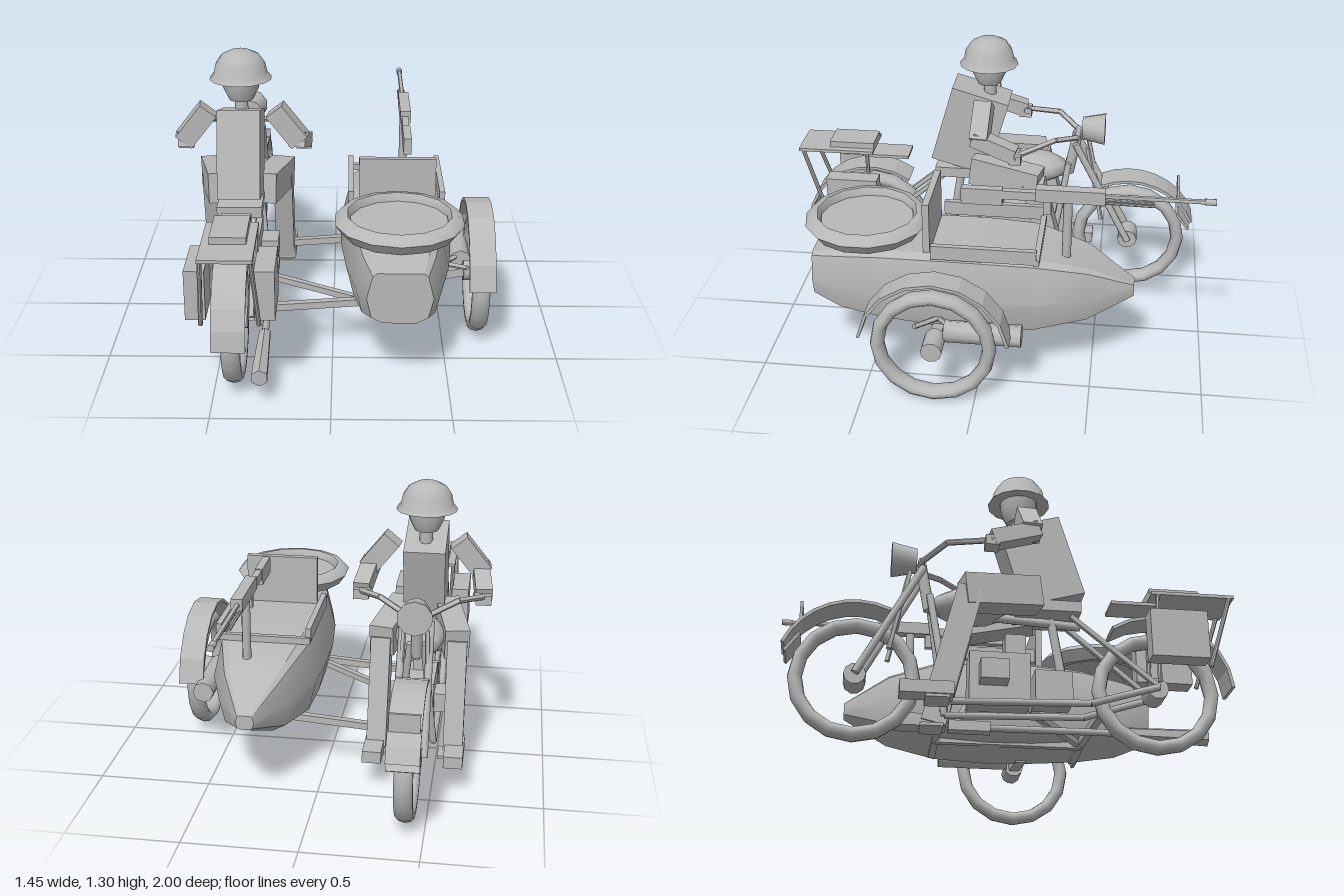
import * as THREE from 'three';
import { toCreasedNormals } from 'three/addons/utils/BufferGeometryUtils.js';

const grey = new THREE.MeshStandardMaterial({ color: 0xb8b8b8, side: THREE.DoubleSide });
grey.name = 'plain grey';
const V = (p) => new THREE.Vector3(...p);
const BX = -0.415; // centre line of the motorcycle
const SX = 0.285; // centre line of the sidecar

export function createModel() {
  const root = new THREE.Group();
  root.name = 'sidecarMotorcycle';
  const bike = new THREE.Group(), sidecar = new THREE.Group(), rider = new THREE.Group();
  bike.name = 'motorcycle'; sidecar.name = 'sidecar'; rider.name = 'rider';
  bike.position.x = rider.position.x = BX;
  root.add(bike, sidecar, rider);

  const add = (g, name, geo, x = 0, y = 0, z = 0) => {
    const m = new THREE.Mesh(geo, grey);
    m.name = name;
    m.position.set(x, y, z);
    g.add(m);
    return m;
  };
  const box = (g, name, w, h, d, x, y, z) => add(g, name, new THREE.BoxGeometry(w, h, d), x, y, z);
  const smooth = (geo) => toCreasedNormals(geo, 0.85);
  // round rod between two points
  const rod = (g, name, a, b, r, r2 = r, seg = 8) => {
    const d = V(b).sub(V(a));
    const m = add(g, name, smooth(new THREE.CylinderGeometry(r2, r, d.length(), seg)));
    m.position.copy(V(a)).addScaledVector(d, 0.5);
    m.quaternion.setFromUnitVectors(new THREE.Vector3(0, 1, 0), d.normalize());
    return m;
  };
  // square beam between two points
  const beam = (g, name, a, b, w, h) => {
    const m = box(g, name, w, h, V(a).distanceTo(V(b)), 0, 0, 0);
    m.position.copy(V(a)).lerp(V(b), 0.5);
    m.quaternion.setFromRotationMatrix(new THREE.Matrix4().lookAt(V(b), V(a), new THREE.Vector3(0, 1, 0)));
    return m;
  };
  // tyre with an open centre and an axle hub
  const wheel = (g, name, x, z, hubHalf) => {
    const t = new THREE.TorusGeometry(0.247, 0.031, 10, 16).rotateY(Math.PI / 2).scale(1.35, 1, 1);
    add(g, name + 'Tyre', t, x, 0.282, z);
    rod(g, name + 'Hub', [x - hubHalf, 0.285, z], [x + hubHalf, 0.285, z], 0.047, 0.047, 10);
  };
  // curved mudguard band; angles run from +z upward
  const fender = (g, name, r, w, a0, a1, x, y, z) => {
    const s = new THREE.Shape(), n = 8;
    for (let k = 0; k <= 2 * n + 1; k++) {
      const outer = k <= n, i = outer ? k : 2 * n + 1 - k;
      const a = THREE.MathUtils.degToRad(a0 + (a1 - a0) * i / n), q = outer ? r : r - 0.014;
      s[k ? 'lineTo' : 'moveTo'](q * Math.cos(a), q * Math.sin(a));
    }
    const geo = new THREE.ExtrudeGeometry(s, { depth: w, bevelEnabled: false });
    geo.translate(0, 0, -w / 2).rotateY(-Math.PI / 2);
    add(g, name, geo, x, y, z);
  };

  // ---- motorcycle wheels and mudguards
  wheel(bike, 'frontWheel', 0, -0.635, 0.055);
  wheel(bike, 'rearWheel', 0, 0.65, 0.055);
  fender(bike, 'frontMudguard', 0.335, 0.14, 65, 158, 0, 0.285, -0.635);
  fender(bike, 'rearMudguard', 0.335, 0.14, 3, 125, 0, 0.285, 0.65);
  const flap = box(bike, 'frontMudguardFlap', 0.14, 0.012, 0.1, 0, 0.41, -0.9);
  flap.rotation.x = -0.95;
  box(bike, 'frontPlate', 0.13, 0.08, 0.012, 0, 0.56, -0.87);

  // ---- frame, fork and handlebar
  for (const s of [-1, 1]) {
    rod(bike, 'forkLeg', [s * 0.06, 0.8, -0.36], [s * 0.065, 0.285, -0.635], 0.017);
    rod(bike, 'forkBrace', [s * 0.05, 0.78, -0.42], [s * 0.065, 0.4, -0.5], 0.011);
    rod(bike, 'lowerFrameTube', [s * 0.08, 0.17, -0.25], [s * 0.08, 0.19, 0.35], 0.016);
    rod(bike, 'downTube', [s * 0.03, 0.68, -0.33], [s * 0.08, 0.17, -0.25], 0.016);
    rod(bike, 'chainStay', [s * 0.08, 0.19, 0.35], [s * 0.07, 0.285, 0.65], 0.016);
    rod(bike, 'seatStay', [s * 0.06, 0.6, 0.28], [s * 0.07, 0.285, 0.65], 0.014);
    rod(bike, 'handlebar', [s * 0.05, 0.83, -0.37], [s * 0.17, 0.865, -0.27], 0.013);
    rod(bike, 'handlebarEnd', [s * 0.17, 0.865, -0.27], [s * 0.285, 0.825, -0.09], 0.013);
    rod(bike, 'grip', [s * 0.23, 0.83, -0.1], [s * 0.31, 0.82, -0.08], 0.016);
    rod(bike, 'rackStrut', [s * 0.1, 0.71, 0.98], [s * 0.12, 0.37, 0.87], 0.01);
    rod(bike, 'rackFrontStrut', [s * 0.1, 0.71, 0.66], [s * 0.09, 0.3, 0.65], 0.01);
    box(bike, 'pannier', 0.085, 0.22, 0.25, s * 0.143, 0.49, 0.725);
    box(bike, 'footPeg', 0.11, 0.015, 0.1, s * 0.16, 0.14, -0.3);
    box(bike, 'engineCylinder', 0.1, 0.09, 0.12, s * 0.1, 0.3, -0.06);
  }
  rod(bike, 'handlebarClamp', [-0.06, 0.83, -0.37], [0.06, 0.83, -0.37], 0.016);
  rod(bike, 'headStock', [0, 0.62, -0.33], [0, 0.84, -0.37], 0.025);
  rod(bike, 'topTube', [0, 0.62, -0.33], [0, 0.58, 0.33], 0.02);
  rod(bike, 'headlamp', [0, 0.86, -0.5], [0, 0.86, -0.39], 0.078, 0.055, 10);
  box(bike, 'engine', 0.14, 0.22, 0.26, 0, 0.3, -0.03);
  box(bike, 'gearbox', 0.13, 0.14, 0.16, 0, 0.27, 0.2);
  box(bike, 'carburettor', 0.08, 0.1, 0.09, 0, 0.46, 0.04);
  const tank = add(bike, 'fuelTank', new THREE.SphereGeometry(1, 10, 8), 0, 0.645, -0.15);
  tank.scale.set(0.115, 0.075, 0.175);
  box(bike, 'saddle', 0.2, 0.05, 0.28, 0, 0.63, 0.18);
  rod(bike, 'saddlePost', [0, 0.3, 0.25], [0, 0.62, 0.2], 0.02);

  // ---- luggage rack
  box(bike, 'rackPlate', 0.22, 0.015, 0.37, 0, 0.715, 0.815);
  box(bike, 'bedroll', 0.15, 0.03, 0.22, 0, 0.737, 0.74);
  box(bike, 'rackArm', 0.13, 0.015, 0.2, 0, 0.68, 0.56);

  // ---- exhaust
  rod(bike, 'muffler', [0.117, 0.135, 0.9], [0.117, 0.14, 0.53], 0.038, 0.028, 6);
  rod(bike, 'exhaustPipe', [0.117, 0.14, 0.53], [0.117, 0.135, -0.2], 0.016);
  rod(bike, 'exhaustBend', [0.117, 0.135, -0.2], [0.117, 0.3, -0.12], 0.016);
  box(bike, 'exhaustBox', 0.05, 0.045, 0.18, 0.117, 0.135, -0.14);

  // ---- rider
  const torso = box(rider, 'torso', 0.19, 0.39, 0.28, 0, 0.85, 0.15);
  torso.rotation.x = -0.28;
  rod(rider, 'neck', [0, 1.0, 0.06], [0, 1.1, 0.06], 0.03);
  const lathe = (pts, n) => smooth(new THREE.LatheGeometry(pts.map((p) => new THREE.Vector2(...p)), n));
  add(rider, 'head', lathe([[0, 1.075], [0.055, 1.078], [0.08, 1.13], [0.085, 1.2]], 12), 0, 0, 0.065);
  add(rider, 'helmet', lathe([[0.085, 1.18], [0.14, 1.175], [0.12, 1.2], [0.112, 1.24], [0.085, 1.28],
    [0.045, 1.3], [0, 1.305]], 14), 0, 0, 0.065);
  for (const s of [-1, 1]) {
    beam(rider, 'upperArm', [s * 0.15, 1.03, 0.07], [s * 0.265, 0.885, 0.08], 0.085, 0.09);
    beam(rider, 'forearm', [s * 0.25, 0.9, 0.11], [s * 0.275, 0.83, -0.09], 0.075, 0.07);
    box(rider, 'hand', 0.07, 0.045, 0.06, s * 0.275, 0.815, -0.09);
    beam(rider, 'thigh', [s * 0.1, 0.67, 0.13], [s * 0.17, 0.63, -0.2], 0.11, 0.14);
    beam(rider, 'shin', [s * 0.17, 0.64, -0.17], [s * 0.172, 0.16, -0.29], 0.088, 0.11);
    box(rider, 'boot', 0.085, 0.055, 0.22, s * 0.18, 0.172, -0.345);
  }

  // ---- sidecar hull lofted through sections: z, half width, bottom, top
  const sections = [
    [-0.675, 0.04, 0.38, 0.445], [-0.47, 0.16, 0.28, 0.56], [-0.24, 0.238, 0.24, 0.62],
    [0, 0.25, 0.23, 0.63], [0.2, 0.25, 0.235, 0.63], [0.45, 0.225, 0.25, 0.615],
    [0.64, 0.185, 0.275, 0.585], [0.767, 0.14, 0.325, 0.555],
  ];
  const half = [[0.5, -1], [0.85, -0.78], [1, -0.02], [0.82, 0.88], [0.68, 1]];
  const ring = [...half, ...half.slice().reverse().map(([u, v]) => [-u, v])];
  const pos = [], idx = [], n = ring.length, last = sections.length - 1;
  sections.forEach(([z, w, y0, y1], i) => {
    for (const [u, v] of ring) pos.push(SX + u * w, (y0 + y1) / 2 + v * (y1 - y0) / 2, z);
    for (let k = 0; k < n && i < last; k++) {
      const a = i * n + k, b = i * n + (k + 1) % n;
      idx.push(a, b, a + n, b, b + n, a + n);
    }
  });
  for (let k = 1; k < n - 1; k++) idx.push(0, k + 1, k, last * n, last * n + k, last * n + k + 1);
  const hull = new THREE.BufferGeometry();
  hull.setAttribute('position', new THREE.Float32BufferAttribute(pos, 3));
  hull.setIndex(idx);
  hull.computeVertexNormals();
  add(sidecar, 'hull', toCreasedNormals(hull, 0.5));

  // cockpit rim and seat back
  for (const s of [-1, 1]) box(sidecar, 'cockpitRail', 0.025, 0.065, 0.46, SX + s * 0.205, 0.655, -0.02);
  box(sidecar, 'cockpitFrontBar', 0.43, 0.03, 0.025, SX, 0.63, -0.25);
  box(sidecar, 'seatBack', 0.34, 0.24, 0.03, SX, 0.74, 0.235);

  // spare wheel lying on the tail
  add(sidecar, 'spareTyre', lathe([[0.21, 0.7], [0.225, 0.725], [0.255, 0.72], [0.28, 0.692], [0.245, 0.643],
    [0.21, 0.65], [0.21, 0.7]], 14), SX, 0, 0.53);
  add(sidecar, 'spareWheelDisc', new THREE.CylinderGeometry(0.215, 0.215, 0.02, 14), SX, 0.68, 0.53);
  rod(sidecar, 'spareWheelStud', [SX, 0.58, 0.53], [SX, 0.68, 0.53], 0.02);

  // sidecar wheel, mudguard and axle
  wheel(sidecar, 'sidecarWheel', 0.66, 0.18, 0.06);
  fender(sidecar, 'sidecarMudguard', 0.335, 0.116, 8, 172, 0.658, 0.288, 0.175);
  beam(sidecar, 'axleArm', [0.36, 0.245, 0.18], [0.63, 0.29, 0.18], 0.05, 0.04);
  for (const z of [0.1, 0.27]) rod(sidecar, 'mudguardStay', [0.5, 0.32, 0.18], [0.61, 0.34, z], 0.012);
  rod(sidecar, 'axleCan', [0.59, 0.315, 0.14], [0.59, 0.315, -0.2], 0.05, 0.05, 8);

  // chassis linking the sidecar and the motorcycle
  for (const z of [-0.25, 0.43]) {
    beam(sidecar, 'chassisCrossBar', [-0.34, 0.215, z], [0.18, 0.255, z], 0.032, 0.032);
    beam(sidecar, 'chassisUnderBar', [0.18, 0.25, z], [0.38, 0.25, z], 0.032, 0.032);
  }
  beam(sidecar, 'chassisLongBar', [0.16, 0.245, -0.25], [0.16, 0.245, 0.43], 0.032, 0.032);
  beam(sidecar, 'chassisDiagonal', [-0.33, 0.22, 0.1], [0.16, 0.25, 0.43], 0.028, 0.028);

  // ---- mounted gun
  const gun = new THREE.Group();
  gun.name = 'mountedGun';
  gun.position.x = 0.335;
  sidecar.add(gun);
  rod(gun, 'mountPost', [0, 0.54, -0.37], [0, 0.87, -0.37], 0.02);
  box(gun, 'stock', 0.036, 0.075, 0.18, 0, 0.862, 0.005);
  box(gun, 'rearBody', 0.03, 0.04, 0.18, 0, 0.875, -0.16);
  box(gun, 'receiver', 0.05, 0.06, 0.3, 0.003, 0.888, -0.38);
  box(gun, 'pistolGrip', 0.025, 0.08, 0.035, 0, 0.83, -0.28);
  rod(gun, 'barrel', [0, 0.89, -0.53], [0, 0.89, -0.96], 0.011);
  rod(gun, 'muzzle', [0, 0.89, -0.95], [0, 0.89, -1], 0.015);
  for (const s of [-1, 1]) rod(gun, 'foldedBipod', [s * 0.015, 0.865, -0.5], [s * 0.012, 0.86, -0.74], 0.007);

  return root;
}
